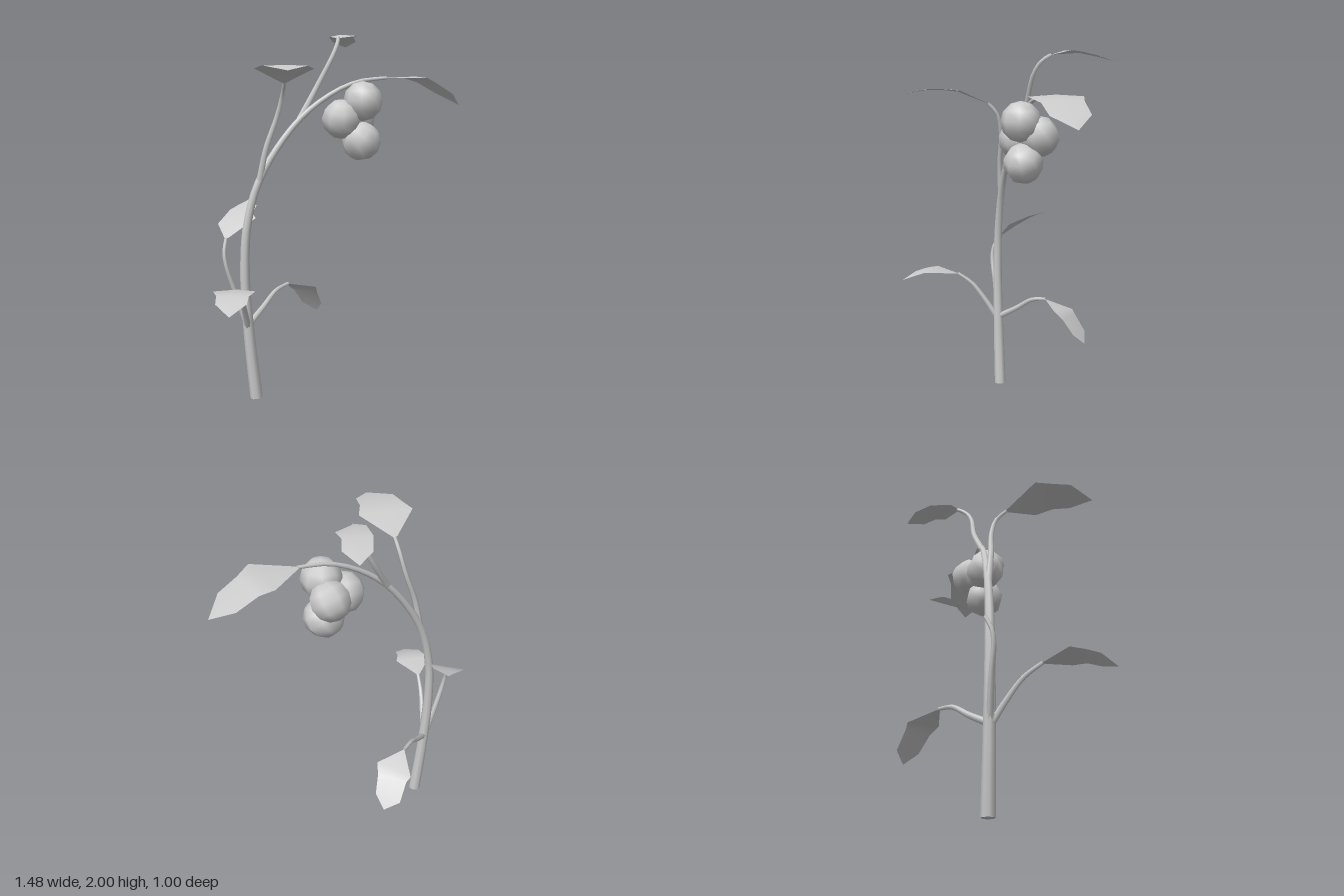
import * as THREE from 'three';

const grey = new THREE.MeshStandardMaterial({ color: 0xcccccc });
const leafGrey = new THREE.MeshStandardMaterial({ color: 0xcccccc, side: THREE.DoubleSide });

// Tube along a smooth path, tapering from r0 to r1
function taperedTube(name, points, r0, r1, segments, sides) {
  const curve = new THREE.CatmullRomCurve3(points.map((p) => new THREE.Vector3(...p)));
  const geo = new THREE.TubeGeometry(curve, segments, 1, sides, false);
  const pos = geo.attributes.position;
  const v = new THREE.Vector3();
  for (let i = 0; i < pos.count; i++) {
    const t = Math.floor(i / (sides + 1)) / segments;
    const c = curve.getPointAt(t);
    v.fromBufferAttribute(pos, i).sub(c).multiplyScalar(r0 + (r1 - r0) * t).add(c);
    pos.setXYZ(i, v.x, v.y, v.z);
  }
  const mesh = new THREE.Mesh(geo, grey);
  mesh.name = name;
  return mesh;
}

// Leaf blade: base and tip in plan [x, z], three teeth per side, heights along the midrib.
// roll lifts the left edge, fold lowers both edges.
function leaf(name, base, tip, left, right, heights, roll = 0, fold = 0.06) {
  const b = new THREE.Vector2(...base);
  const axis = new THREE.Vector2(...tip).sub(b);
  const length = axis.length();
  axis.normalize();
  const rib = new THREE.CatmullRomCurve3(heights.map((y, i) => new THREE.Vector3(i, y, 0)));
  const along = (p) => (p[0] - b.x) * axis.x + (p[1] - b.y) * axis.y;
  const across = (p) => (p[0] - b.x) * axis.y - (p[1] - b.y) * axis.x;
  const positions = [];
  const put = (p) => {
    const t = THREE.MathUtils.clamp(along(p) / length, 0, 1);
    const s = across(p);
    positions.push(p[0], rib.getPoint(t).y + roll * s - fold * Math.abs(s), p[1]);
  };
  const L = [base, ...left, tip];
  const R = [base, ...right, tip];
  L.forEach((l, i) => {
    const r = R[i];
    const d = (along(l) + along(r)) / 2;
    put(l);
    put([b.x + axis.x * d, b.y + axis.y * d]);
    put(r);
  });
  const index = [];
  for (let i = 0; i < L.length - 1; i++) {
    for (let j = 0; j < 2; j++) {
      const a = i * 3 + j;
      if (i > 0) index.push(a, a + 1, a + 4);
      if (i < L.length - 2) index.push(a, a + 4, a + 3);
    }
  }
  // close the pointed base and tip
  index.push(0, 4, 3, 0, 5, 4);
  const geo = new THREE.BufferGeometry();
  geo.setAttribute('position', new THREE.Float32BufferAttribute(positions, 3));
  geo.setIndex(index);
  geo.computeVertexNormals();
  const mesh = new THREE.Mesh(geo, leafGrey);
  mesh.name = name;
  return mesh;
}

export function createModel() {
  const plant = new THREE.Group();
  plant.name = 'fruitingPlant';

  // Main stem, arching to the left
  plant.add(taperedTube('stem', [
    [-0.463, 0.004, -0.08], [-0.495, 0.35, -0.08], [-0.513, 0.7, -0.08], [-0.495, 0.98, -0.08],
    [-0.42, 1.23, -0.08], [-0.22, 1.52, -0.08], [-0.03, 1.67, -0.08], [0.13, 1.74, -0.08], [0.29, 1.76, -0.08],
  ], 0.035, 0.009, 32, 8));
  const foot = new THREE.Mesh(new THREE.CircleGeometry(0.034, 8), grey);
  foot.name = 'stemBase';
  foot.rotation.x = Math.PI / 2;
  foot.position.set(-0.463, 0.004, -0.08);
  plant.add(foot);

  // Side stalks
  const stalks = {
    topStalk: [[-0.2, 1.54, -0.085], [-0.1, 1.7, -0.12], [0, 1.88, -0.13], [0.035, 1.945, -0.16], [0.055, 1.98, -0.21]],
    frontStalk: [[-0.425, 1.22, -0.075], [-0.39, 1.39, -0.06], [-0.33, 1.56, -0.05], [-0.307, 1.67, -0.02], [-0.308, 1.73, 0.035]],
    rearStalk: [[-0.51, 0.43, -0.08], [-0.57, 0.62, -0.08], [-0.615, 0.77, -0.075], [-0.622, 0.84, -0.085], [-0.605, 0.91, -0.115]],
    lowFrontStalk: [[-0.505, 0.42, -0.07], [-0.53, 0.52, -0.01], [-0.563, 0.63, 0.07], [-0.592, 0.695, 0.155]],
    lowRearStalk: [[-0.49, 0.43, -0.09], [-0.4, 0.495, -0.165], [-0.31, 0.565, -0.235], [-0.225, 0.585, -0.295]],
  };
  for (const [name, path] of Object.entries(stalks)) plant.add(taperedTube(name, path, 0.018, 0.01, 14, 6));

  // Leaves
  plant.add(
    leaf('tipLeaf', [0.27, -0.082], [0.74, -0.09],
      [[0.46, -0.23], [0.53, -0.205], [0.64, -0.195]],
      [[0.475, 0.06], [0.55, 0.02], [0.65, 0.015]], [1.76, 1.785, 1.755, 1.695, 1.61]),
    leaf('topLeaf', [0.05, -0.195], [0.19, -0.505],
      [[0.02, -0.25], [0.05, -0.37], [0.1, -0.46]],
      [[0.185, -0.27], [0.185, -0.33], [0.22, -0.4]], [1.975, 2.0, 1.995, 1.975, 1.945]),
    leaf('frontLeaf', [-0.308, 0.025], [-0.4, 0.5],
      [[-0.2, 0.22], [-0.255, 0.31], [-0.28, 0.4]],
      [[-0.49, 0.165], [-0.48, 0.26], [-0.485, 0.36]], [1.725, 1.79, 1.808, 1.808, 1.78], 0, 0.03),
    leaf('rearLeaf', [-0.61, -0.11], [-0.425, -0.37],
      [[-0.63, -0.235], [-0.55, -0.31], [-0.505, -0.33]],
      [[-0.44, -0.13], [-0.445, -0.18], [-0.41, -0.25]], [0.9, 0.97, 1.02, 1.055, 1.08], -0.1, 0),
    leaf('lowFrontLeaf', [-0.592, 0.145], [-0.69, 0.485],
      [[-0.53, 0.31], [-0.575, 0.37], [-0.595, 0.43]],
      [[-0.73, 0.25], [-0.725, 0.32], [-0.74, 0.39]], [0.69, 0.72, 0.722, 0.7, 0.65]),
    leaf('lowRearLeaf', [-0.23, -0.29], [-0.01, -0.455],
      [[-0.18, -0.445], [-0.15, -0.45], [-0.09, -0.49]],
      [[-0.06, -0.285], [-0.04, -0.33], [0, -0.38]], [0.585, 0.575, 0.54, 0.46, 0.36], -0.15),
  );

  // Cluster of round fruit
  const cluster = new THREE.Group();
  cluster.name = 'fruitCluster';
  const fruitGeo = new THREE.SphereGeometry(0.107, 8, 6);
  [[0.135, 1.635, -0.018], [0.022, 1.54, -0.042], [0.137, 1.56, -0.118], [0.132, 1.42, -0.033]].forEach((p, i) => {
    const fruit = new THREE.Mesh(fruitGeo, grey);
    fruit.name = `fruit${i + 1}`;
    fruit.position.set(...p);
    fruit.rotation.set(0.2 * i, 0.4 + i, 0.15 * i);
    cluster.add(fruit);
  });
  plant.add(cluster);
  return plant;
}
